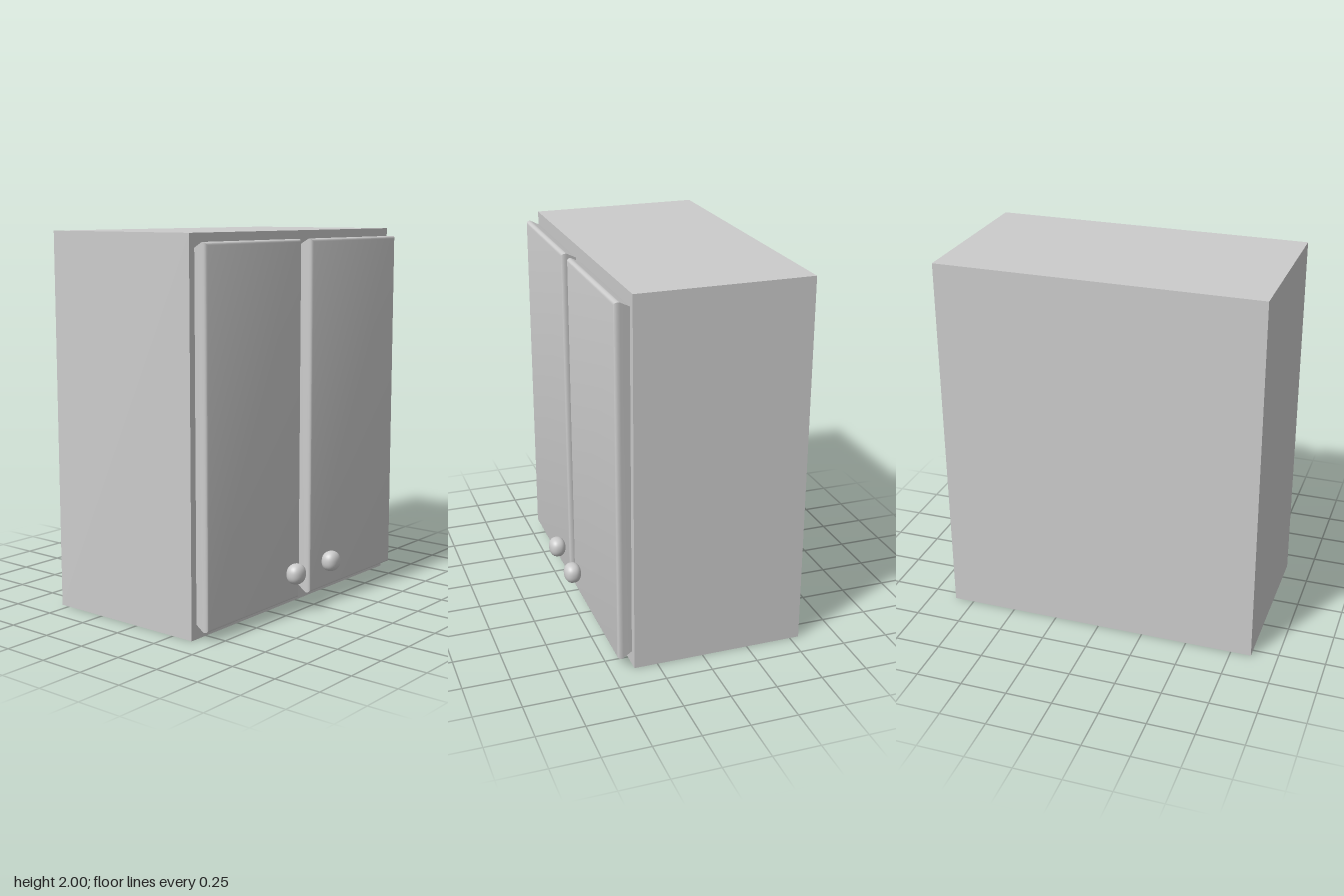
import * as THREE from 'three';
import { toCreasedNormals } from 'three/addons/utils/BufferGeometryUtils.js';

const material = new THREE.MeshStandardMaterial({ color: 0xcccccc });

function addMesh(parent, name, geometry, x = 0, y = 0, z = 0) {
  const mesh = new THREE.Mesh(geometry, material);
  mesh.name = name;
  mesh.position.set(x, y, z);
  parent.add(mesh);
}

// Door slab: rectangular rings [inset x, inset y, z] lofted from back to front
function doorGeometry(width, height) {
  const rings = [[0.01, 0.028, 0], [0.001, 0.003, 0.049], [0, 0, 0.056], [0.001, 0.001, 0.066],
    [0.004, 0.004, 0.073], [0.009, 0.009, 0.077], [0.016, 0.016, 0.079]];
  const positions = [], index = [];
  for (const [ix, iy, z] of rings) {
    const w = width / 2 - ix, h = height / 2 - iy;
    positions.push(-w, -h, z, w, -h, z, w, h, z, -w, h, z);
  }
  for (let r = 0; r < rings.length - 1; r++) {
    for (let i = 0; i < 4; i++) {
      const a = r * 4 + i, b = r * 4 + (i + 1) % 4;
      index.push(a, b, b + 4, a, b + 4, a + 4);
    }
  }
  const f = (rings.length - 1) * 4;
  index.push(f, f + 1, f + 2, f, f + 2, f + 3, 0, 2, 1, 0, 3, 2);
  const geometry = new THREE.BufferGeometry();
  geometry.setAttribute('position', new THREE.Float32BufferAttribute(positions, 3));
  geometry.setIndex(index);
  return toCreasedNormals(geometry, 0.7);
}

// Knob: a flattened ball, slightly squared off
function knobGeometry() {
  const geometry = new THREE.SphereGeometry(1, 32, 24);
  const p = geometry.attributes.position, v = new THREE.Vector3(), power = 2.3;
  for (let i = 0; i < p.count; i++) {
    v.fromBufferAttribute(p, i);
    const sum = Math.abs(v.x) ** power + Math.abs(v.y) ** power + Math.abs(v.z) ** power;
    v.multiplyScalar(sum ** (-1 / power));
    p.setXYZ(i, v.x * 0.055, v.y * 0.055, v.z * 0.046);
  }
  geometry.computeVertexNormals();
  return geometry;
}

export function createModel() {
  const model = new THREE.Group();
  model.name = 'wallCabinet';

  // Cabinet body
  addMesh(model, 'cabinetBody', new THREE.BoxGeometry(1.72, 2, 0.925), 0, 1, -0.0875);

  // Two doors of slightly different width, each with its knob
  const doors = [
    { side: 'right', from: -0.833, to: -0.07, knobX: -0.165 },
    { side: 'left', from: 0.02, to: 0.828, knobX: 0.155 },
  ];
  for (const { side, from, to, knobX } of doors) {
    addMesh(model, side + 'Door', doorGeometry(to - from, 1.91), (from + to) / 2, 1.003, 0.375);
    addMesh(model, side + 'Knob', knobGeometry(), knobX, 0.208, 0.502);
  }
  return model;
}
